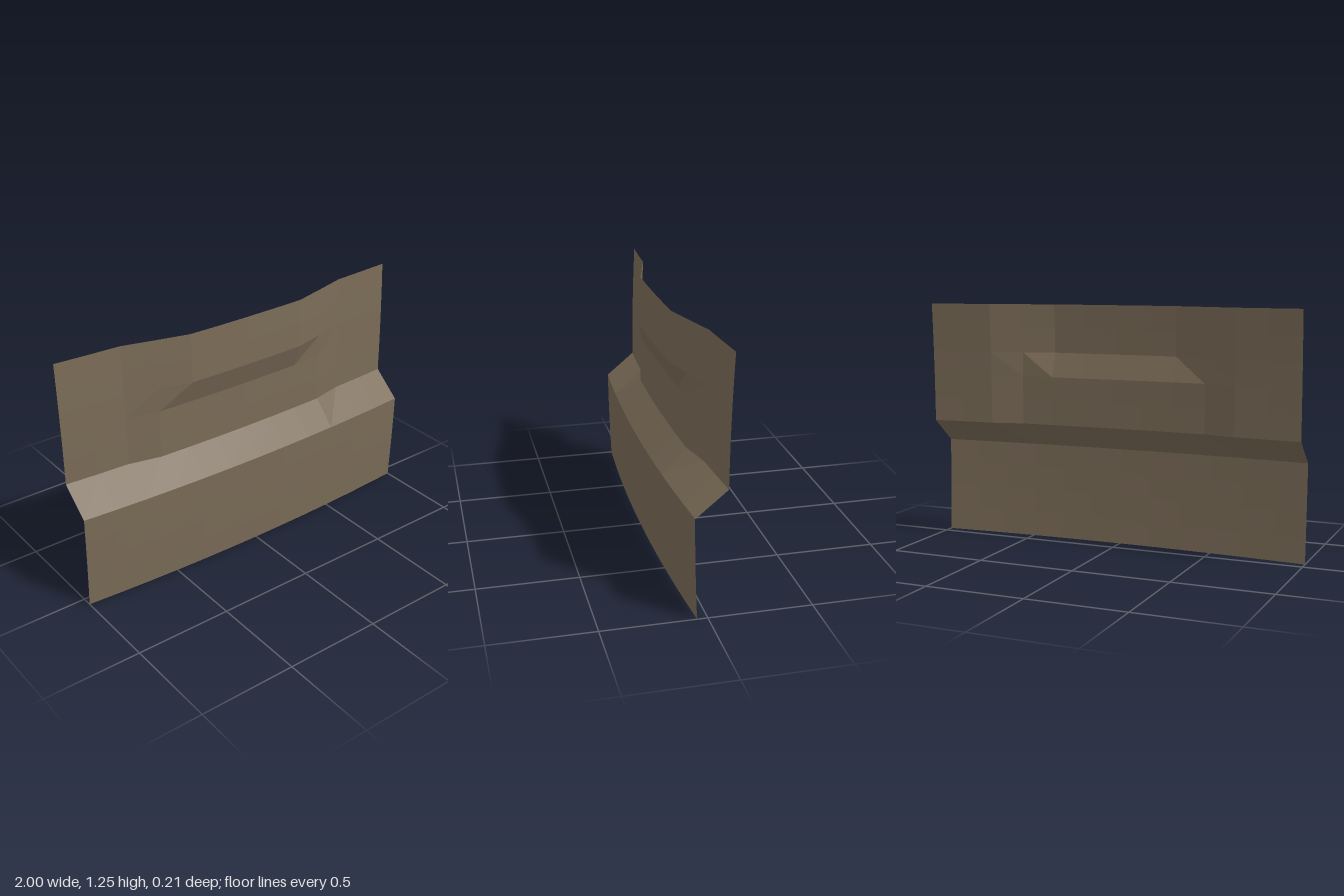
import * as THREE from 'three';

// Straight-line interpolation through [position, value] stops
function ramp(stops, t) {
  if (t <= stops[0][0]) return stops[0][1];
  for (let i = 1; i < stops.length; i++) {
    const [a, va] = stops[i - 1], [b, vb] = stops[i];
    if (t <= b) return va + (vb - va) * (t - a) / (b - a);
  }
  return stops[stops.length - 1][1];
}

const STEP = [[0.5, 0.106], [0.625, -0.045]];                  // lower band stands forward of the upper
const LOW_HEIGHT = [[0.5, 0], [0.625, 0.03]];                  // shallow raised panel
const LOW_WIDTH = [[0.5, 1], [0.667, 0]];
const HIGH_HEIGHT = [[0.875, 0], [1, 0.075]];                  // deeper raised panel along the top
const HIGH_WIDTH = [[0.333, 1], [0.667, 0]];

function depth(x, y) {
  const ax = Math.abs(x);
  const bow = -0.04 * (x * x + (y - 0.625) ** 2);
  const low = ramp(LOW_HEIGHT, y) * ramp(LOW_WIDTH, ax) * (1 - ramp([[0.875, 0], [1, 1]], y));
  const high = ramp(HIGH_HEIGHT, y) * ramp(HIGH_WIDTH, ax);
  return ramp(STEP, y) + bow + low + high;
}

export function createModel() {
  const group = new THREE.Group();
  group.name = 'bowedPanel';

  // Thin sheet, bowed both ways and stepped across the middle
  const geometry = new THREE.PlaneGeometry(2, 1.25, 12, 10);
  geometry.translate(0, 0.625, 0);
  const p = geometry.attributes.position;
  for (let i = 0; i < p.count; i++) p.setZ(i, depth(p.getX(i), p.getY(i)));
  geometry.computeVertexNormals();

  const sheet = new THREE.Mesh(geometry, new THREE.MeshStandardMaterial({
    color: 0x7a6b57, side: THREE.DoubleSide, flatShading: true,
  }));
  sheet.name = 'panelSheet';
  group.add(sheet);
  return group;
}
